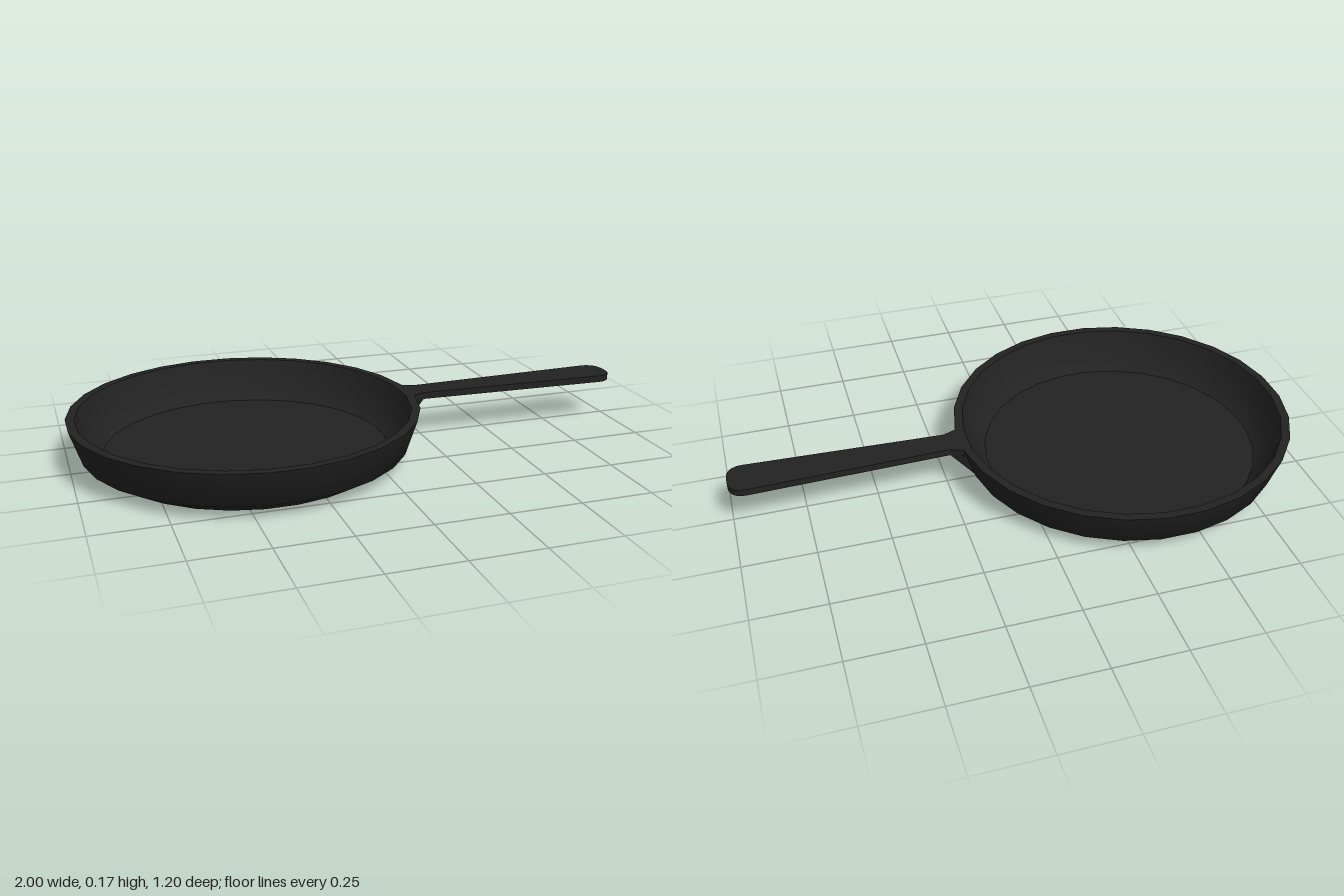
import * as THREE from 'three';
import { ConvexGeometry } from 'three/addons/geometries/ConvexGeometry.js';

const SIDES = 28;
const PAN_X = -0.4;
const TOP = 0.17;

export function createModel() {
  const group = new THREE.Group();
  const iron = new THREE.MeshStandardMaterial({ color: 0x222222 });

  const add = (name, geometry, parent = group) => {
    const mesh = new THREE.Mesh(geometry, iron);
    mesh.name = name;
    parent.add(mesh);
    return mesh;
  };

  // Pan body: each band is its own lathe, so edges between bands stay sharp.
  // Radii are measured to the flats of the 28-sided outline.
  const pan = new THREE.Group();
  pan.name = 'pan';
  pan.position.x = PAN_X;
  group.add(pan);
  const bands = {
    base: [[0, 0], [0.48, 0]],
    outerWall: [[0.48, 0], [0.56, 0.047], [0.6, TOP]],
    rim: [[0.6, TOP], [0.57, TOP]],
    innerWall: [[0.57, TOP], [0.563, 0.15], [0.535, 0.065], [0.49, 0.03]],
    cookingSurface: [[0.49, 0.03], [0, 0.03]],
  };
  const toCorner = 1 / Math.cos(Math.PI / SIDES);
  for (const [name, profile] of Object.entries(bands)) {
    const points = profile.map(([r, y]) => new THREE.Vector2(r * toCorner, y));
    add(name, new THREE.LatheGeometry(points, SIDES, Math.PI / SIDES), pan);
  }

  // Handle: flat tapered bar, flared at the rim and rounded at the end
  const outline = new THREE.Shape();
  outline.moveTo(0.199, -0.065);
  outline.lineTo(0.245, -0.046);
  outline.lineTo(0.945, -0.07);
  outline.bezierCurveTo(0.98, -0.07, 1, -0.045, 1, -0.015);
  outline.lineTo(1, 0.015);
  outline.bezierCurveTo(1, 0.045, 0.98, 0.07, 0.945, 0.07);
  outline.lineTo(0.245, 0.046);
  outline.lineTo(0.199, 0.065);
  outline.closePath();
  const bar = new THREE.ExtrudeGeometry(outline, { depth: 0.024, bevelEnabled: false, curveSegments: 6 });
  bar.rotateX(Math.PI / 2);
  add('handle', bar).position.y = TOP;

  // Wedge bracing the handle against the outer wall
  const corners = [];
  for (const side of [-1, 1]) {
    corners.push(
      new THREE.Vector3(0.245, 0.147, side * 0.046),
      new THREE.Vector3(0.19, 0.147, side * 0.064),
      new THREE.Vector3(0.158, 0.047, side * 0.054),
    );
  }
  add('handleBrace', new ConvexGeometry(corners));

  return group;
}
